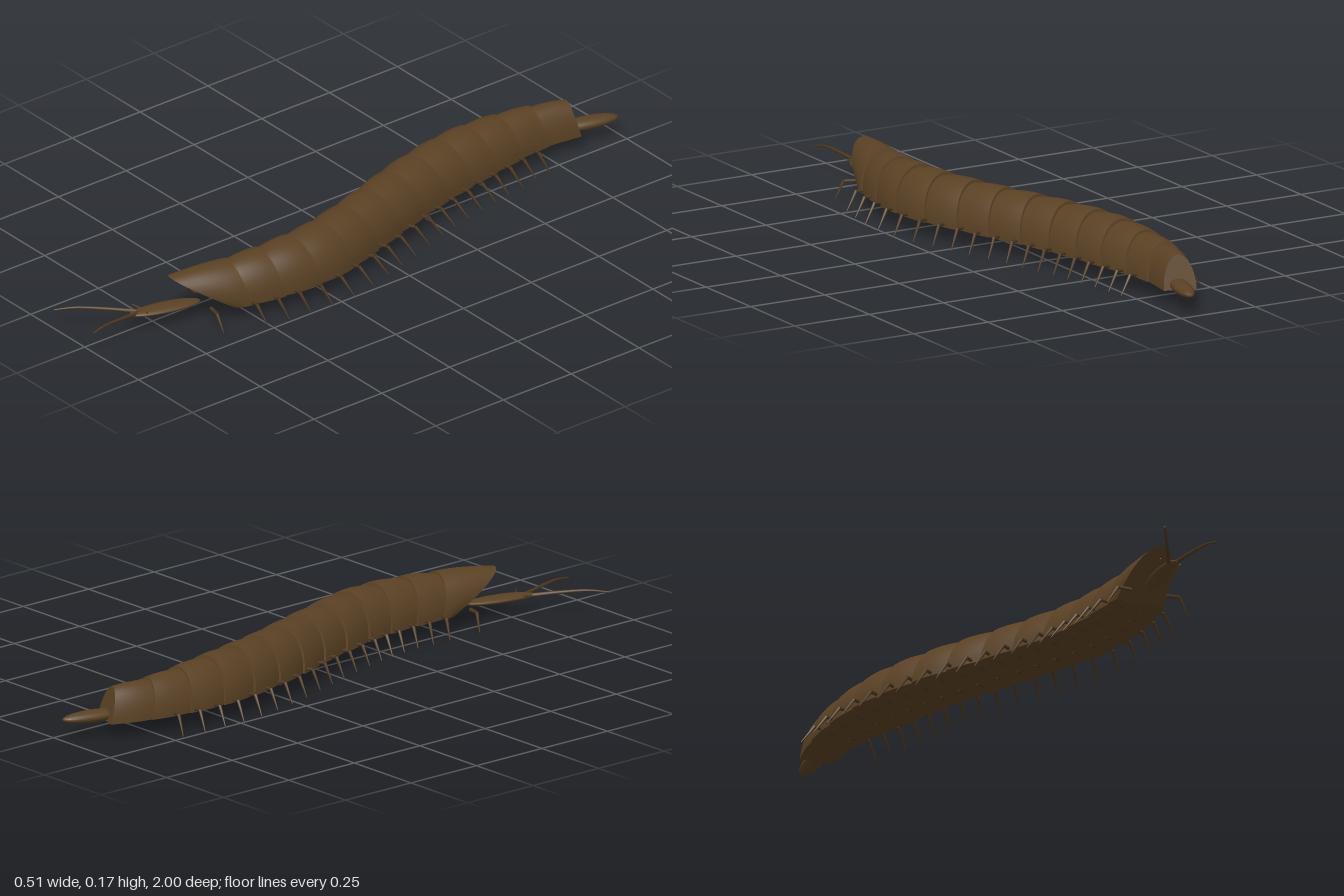
import * as THREE from 'three';

const mat = (name, color) => {
  const m = new THREE.MeshStandardMaterial({ color });
  m.name = name;
  return m;
};

export function createModel() {
  const shell = mat('shell brown', 0x5a4124);
  const limb = mat('limb brown', 0x4c361f);
  const root = new THREE.Group();
  root.name = 'millipede';
  const BASE = 0.046;

  // S-shaped spine: x = sideways offset, y = half width, z = station
  const spine = new THREE.CatmullRomCurve3([
    [0, 0.03], [0.035, 0.055], [0.087, 0.083], [0.095, 0.098], [0.03, 0.095],
    [-0.05, 0.097], [-0.1, 0.094], [-0.103, 0.064], [-0.035, 0.03],
  ].map(([x, w], i) => new THREE.Vector3(x, w, 1 - i * 0.25)), false, 'catmullrom', 0.5);
  const at = (z) => spine.getPoint(THREE.MathUtils.clamp((1 - z) / 2, 0, 1));
  const sideways = (z) => {
    const dx = (at(z + 0.02).x - at(z - 0.02).x) / 0.04;
    return new THREE.Vector3(1, 0, -dx).normalize();
  };

  const add = (name, geo, material, parent = root) => {
    const mesh = new THREE.Mesh(geo, material);
    mesh.name = name;
    parent.add(mesh);
    return mesh;
  };

  // Domed plate with a flat floor; the top leans forward by a shift
  function plate(zFront, zRear, shiftFront, shiftRear) {
    const rows = 8, cols = 20, pos = [], idx = [];
    const point = (j, i) => {
      const t = j / rows, a = Math.PI * i / cols;
      const z = THREE.MathUtils.lerp(zFront, zRear, t);
      const shift = THREE.MathUtils.lerp(shiftFront, shiftRear, t) * Math.sin(a);
      const w = at(z).y, c = at(z + shift), n = sideways(z);
      const swell = 0.94 + 0.09 * Math.sin(t * Math.PI * 0.65);
      const off = Math.cos(a) * w * swell;
      return [c.x + n.x * off, BASE + Math.sin(a) * (0.07 + 0.56 * w) * swell, z + shift + n.z * off];
    };
    const push = (j, i) => pos.push(...point(j, i)) / 3 - 1;
    // arched skin
    for (let j = 0; j <= rows; j++) for (let i = 0; i <= cols; i++) push(j, i);
    for (let j = 0; j < rows; j++) for (let i = 0; i < cols; i++) {
      const p = j * (cols + 1) + i, q = p + cols + 1;
      idx.push(p, q, p + 1, p + 1, q, q + 1);
    }
    // floor
    for (let j = 0, b = pos.length / 3; j <= rows; j++) {
      push(j, 0);
      push(j, cols);
      if (j < rows) {
        const p = b + 2 * j;
        idx.push(p, p + 1, p + 2, p + 1, p + 3, p + 2);
      }
    }
    // end faces
    for (const j of [0, rows]) {
      const b = pos.length / 3;
      for (let i = 0; i <= cols; i++) push(j, i);
      for (let i = 1; i < cols; i++) idx.push(b, ...(j ? [b + i + 1, b + i] : [b + i, b + i + 1]));
    }
    const g = new THREE.BufferGeometry();
    g.setAttribute('position', new THREE.Float32BufferAttribute(pos, 3));
    g.setIndex(idx);
    g.computeVertexNormals();
    return g;
  }

  // Body plates from the tail forward, then the long pointed collar
  const step = 0.1155;
  for (let k = 0; k < 12; k++) {
    const zr = -0.87 + k * step;
    add('bodyPlate', plate(zr + step + 0.012, zr, 0.025, 0.025), shell);
  }
  add('collarPlate', plate(0.55, 0.505, 0.17, 0.03), shell);

  // Tapered rod between two points
  function rod(name, a, b, ra, rb, parent) {
    const d = new THREE.Vector3().subVectors(b, a);
    const m = add(name, new THREE.CylinderGeometry(rb, ra, d.length(), 7), limb, parent);
    m.position.copy(a).addScaledVector(d, 0.5);
    m.quaternion.setFromUnitVectors(new THREE.Vector3(0, 1, 0), d.normalize());
  }

  // Jointed leg: hip, knee and foot given as [reach, height, sweep back]
  function leg(name, z, side, joints) {
    const g = new THREE.Group();
    g.name = name;
    root.add(g);
    const c = at(z), n = sideways(z);
    const [hip, knee, foot] = joints.map(([r, y, back]) =>
      new THREE.Vector3(c.x + n.x * r * side, y, z + n.z * r * side - back));
    rod('thigh', hip, knee, 0.006, 0.005, g);
    rod('shin', knee, foot, 0.0055, 0.0015, g);
  }
  for (const side of [1, -1]) {
    for (let i = 0; i < 19; i++) {
      const z = 0.505 - i * 0.0662, w = at(z).y;
      leg('leg', z, side, [[w * 0.3, 0.048, 0], [w + 0.02, 0.057, 0.004], [w + 0.058, 0.002, 0.018]]);
    }
    leg('frontLeg', 0.615, side, [[0.055, 0.052, 0], [0.095, 0.054, 0], [0.125, 0.004, 0.008]]);
  }

  // Slender head and tail
  function spindle(name, x, y, z, w, h, l, yaw) {
    const m = add(name, new THREE.SphereGeometry(1, 24, 14), shell);
    m.scale.set(w, h, l);
    m.position.set(x, y, z);
    m.rotation.y = yaw;
  }
  spindle('head', 0.032, 0.053, 0.73, 0.031, 0.011, 0.113, -0.25);
  spindle('tail', -0.062, 0.062, -0.9, 0.028, 0.018, 0.1, -0.27);

  // Antennae and small mouth feelers
  const v = (x, y, z) => new THREE.Vector3(x, y, z);
  for (const [x0, x1] of [[0, -0.145], [0.013, 0.036]]) {
    const pts = new THREE.CatmullRomCurve3([
      v(x0, 0.054, 0.81), v(x0 + (x1 - x0) * 0.4, 0.063, 0.885),
      v(x0 + (x1 - x0) * 0.75, 0.067, 0.95), v(x1, 0.06, 0.998),
    ]).getPoints(8);
    const g = new THREE.Group();
    g.name = 'antenna';
    root.add(g);
    for (let i = 0; i < 8; i++) rod('antennaJoint', pts[i], pts[i + 1], 0.0065 - i * 0.0005, 0.006 - i * 0.0005, g);
  }
  for (const side of [1, -1]) {
    rod('feeler', v(0.01 + side * 0.012, 0.056, 0.79), v(0.01 + side * 0.036, 0.064, 0.805), 0.003, 0.002, root);
  }
  return root;
}
